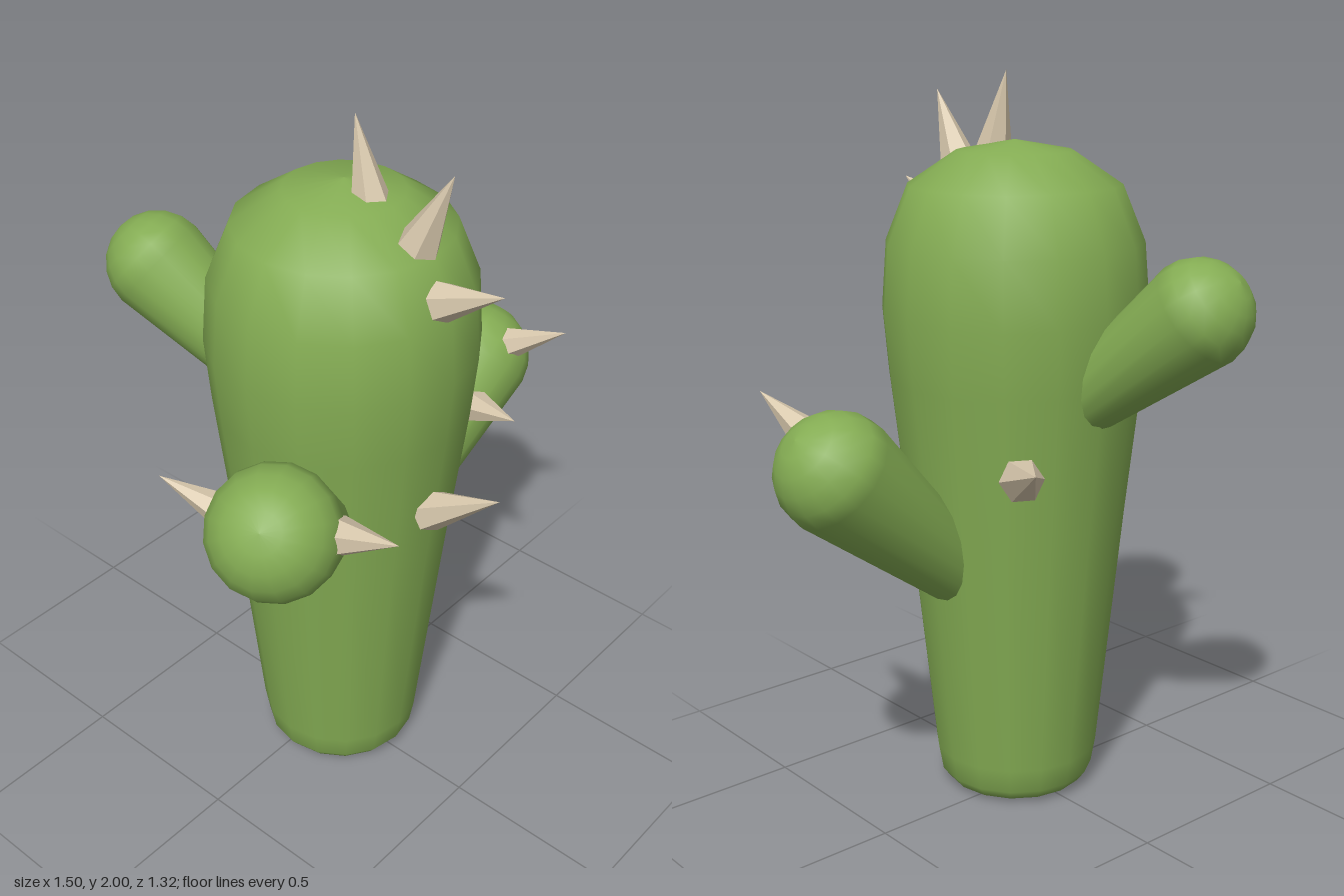
import * as THREE from 'three';

const V = (a) => new THREE.Vector3(...a);

// Aim a +y shape from one point to another
function aim(mesh, from, to) {
  const dir = V(to).sub(V(from)).normalize();
  mesh.quaternion.setFromUnitVectors(new THREE.Vector3(0, 1, 0), dir);
  mesh.position.copy(V(from));
}

export function createModel() {
  const green = new THREE.MeshStandardMaterial({ color: 0x84ac53 });
  green.name = 'cactusGreen';
  const cream = new THREE.MeshStandardMaterial({ color: 0xd8c8ad });
  cream.name = 'spineCream';

  const group = new THREE.Group();
  group.name = 'cactus';

  function lathe(name, profile, sides) {
    const pts = profile.map(([r, y]) => new THREE.Vector2(r, y));
    const mesh = new THREE.Mesh(new THREE.LatheGeometry(pts, sides), green);
    mesh.name = name;
    group.add(mesh);
    return mesh;
  }

  // Trunk: widens upward, closes in a blunt dome
  const trunk = lathe('trunk', [
    [0, 0.005], [0.14, 0.006], [0.195, 0.02], [0.218, 0.05], [0.23, 0.12], [0.302, 0.82],
    [0.345, 1.2], [0.36, 1.38], [0.346, 1.56], [0.285, 1.71], [0.155, 1.797], [0, 1.825],
  ], 16);
  trunk.position.z = 0.04;

  // Arms: narrow at the root, round at the tip
  function arm(name, root, tip, r0, r1) {
    const len = V(root).distanceTo(V(tip));
    const profile = [[0, -r0 * 0.5], [r0 * 0.7, -r0 * 0.35], [r0, 0]];
    for (let i = 0; i <= 5; i++) {
      const a = (i / 5) * Math.PI / 2;
      profile.push([i === 5 ? 0 : r1 * Math.cos(a), len + r1 * Math.sin(a)]);
    }
    aim(lathe(name, profile, 16), root, tip);
  }
  arm('leftArm', [0.185, 0.66, 0.038], [0.59, 1.03, 0.038], 0.092, 0.162);
  arm('rightArm', [-0.2, 0.907, 0.13], [-0.59, 1.25, 0.345], 0.095, 0.165);
  arm('backArm', [0, 1.12, -0.16], [-0.112, 1.428, -0.522], 0.085, 0.143);

  // Spines: faceted cones, [base, tip, radius]
  const spines = [
    [[0.005, 1.79, 0.12], [0.003, 2.0, 0.07], 0.05],
    [[-0.013, 1.735, 0.285], [-0.006, 1.94, 0.375], 0.055],
    [[-0.015, 1.61, 0.36], [-0.015, 1.69, 0.54], 0.054],
    [[-0.015, 0.975, 0.35], [-0.015, 1.115, 0.57], 0.06],
    [[-0.515, 1.26, 0.465], [-0.525, 1.34, 0.657], 0.053],
    [[-0.55, 1.18, 0.165], [-0.62, 1.255, -0.005], 0.05],
    [[-0.435, 1.066, 0.12], [-0.485, 1.12, -0.09], 0.052],
    [[0.44, 0.983, 0.155], [0.39, 1.035, 0.33], 0.05],
    [[0.602, 1.11, 0.145], [0.635, 1.2, 0.315], 0.048],
    [[0.205, 0.995, -0.225], [0.32, 1.07, -0.41], 0.06],
  ];
  spines.forEach(([base, tip, r], i) => {
    const len = V(base).distanceTo(V(tip));
    const geo = new THREE.ConeGeometry(r, len, 6).translate(0, len / 2, 0).toNonIndexed();
    geo.computeVertexNormals();
    const spine = new THREE.Mesh(geo, cream);
    spine.name = 'spine' + (i + 1);
    aim(spine, base, tip);
    group.add(spine);
  });

  return group;
}
